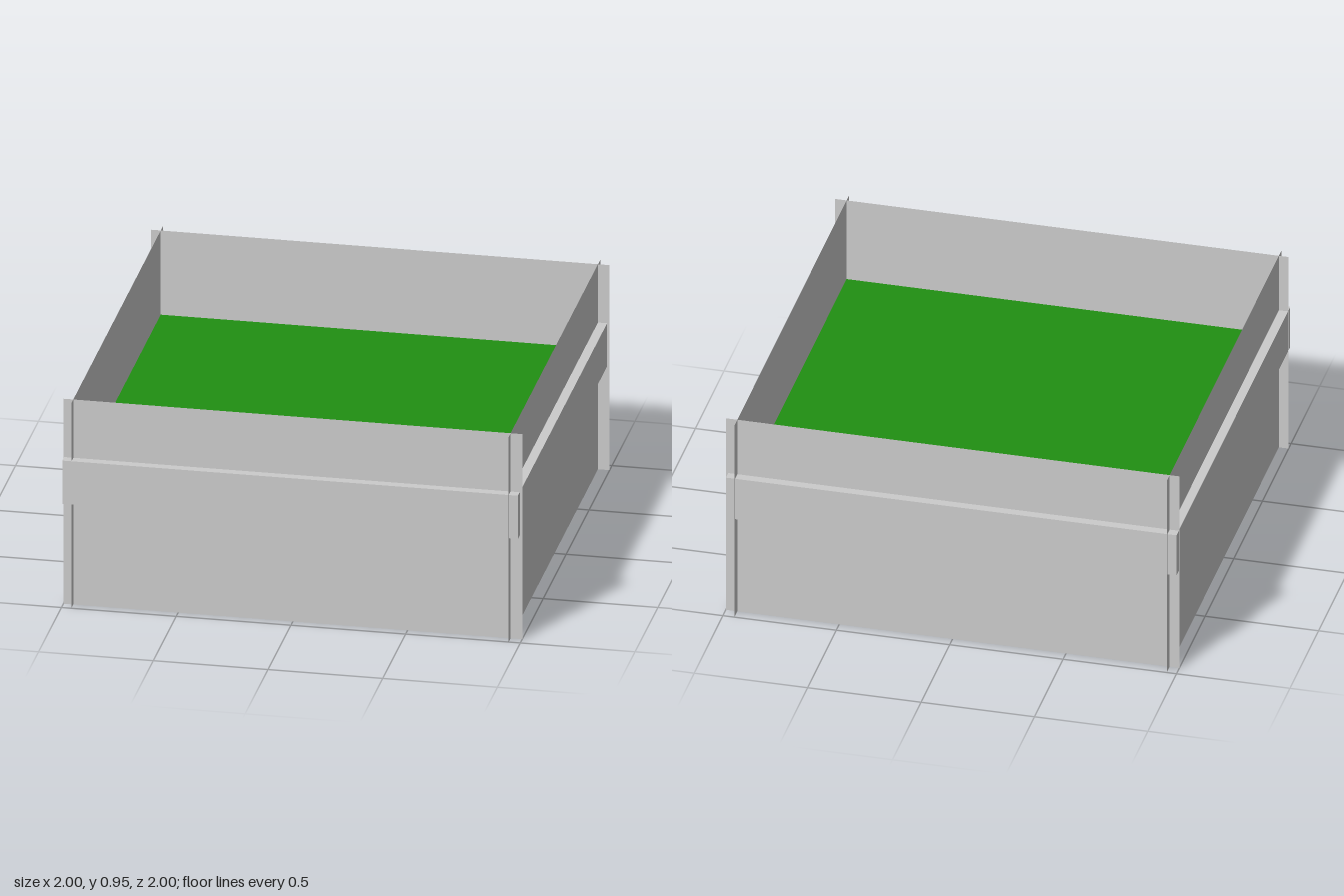
import * as THREE from 'three';

export function createModel() {
  const model = new THREE.Group();
  const grey = new THREE.MeshStandardMaterial({ color: 0xcccccc });
  const sheet = new THREE.MeshStandardMaterial({ color: 0xcccccc, side: THREE.DoubleSide });
  const green = new THREE.MeshStandardMaterial({ color: 0x209012 });

  const height = 0.95;
  const wallAt = 0.953; // distance of each wall from the centre
  const bandAt = 0.993; // outer face of the band
  const bandBottom = 0.48, bandTop = 0.68;
  const cx = -0.004, cz = 0.004; // slight offset of the box from the centre

  function add(name, geometry, material, x, y, z, turn = 0) {
    const mesh = new THREE.Mesh(geometry, material);
    mesh.name = name;
    mesh.position.set(x, y, z);
    mesh.rotation.y = turn;
    model.add(mesh);
  }

  // Four thin walls that cross at the corners, and a board outside each one
  const wall = new THREE.PlaneGeometry(2, height);
  const thickness = bandAt - wallAt;
  const board = new THREE.BoxGeometry(bandAt + wallAt, bandTop - bandBottom, thickness);
  const mid = (bandAt + wallAt) / 2;
  ['front', 'left', 'back', 'right'].forEach((side, i) => {
    const turn = i * Math.PI / 2;
    const s = Math.round(Math.sin(turn)), c = Math.round(Math.cos(turn));
    add(side + 'Wall', wall, sheet,
      s * wallAt + (s ? cx : 0), height / 2, c * wallAt + (c ? cz : 0), turn);
    // Each board runs past one corner and butts against the next board
    const shift = thickness / 2;
    add(side + 'Band', board, grey,
      cx + s * mid + c * shift, (bandBottom + bandTop) / 2, cz + c * mid - s * shift, turn);
  });

  // Green floor slab, reaching just under the band
  const floorBottom = 0.476, floorTop = 0.56;
  add('floor', new THREE.BoxGeometry(1.92, floorTop - floorBottom, 1.92), green,
    cx, (floorBottom + floorTop) / 2, cz);

  return model;
}
